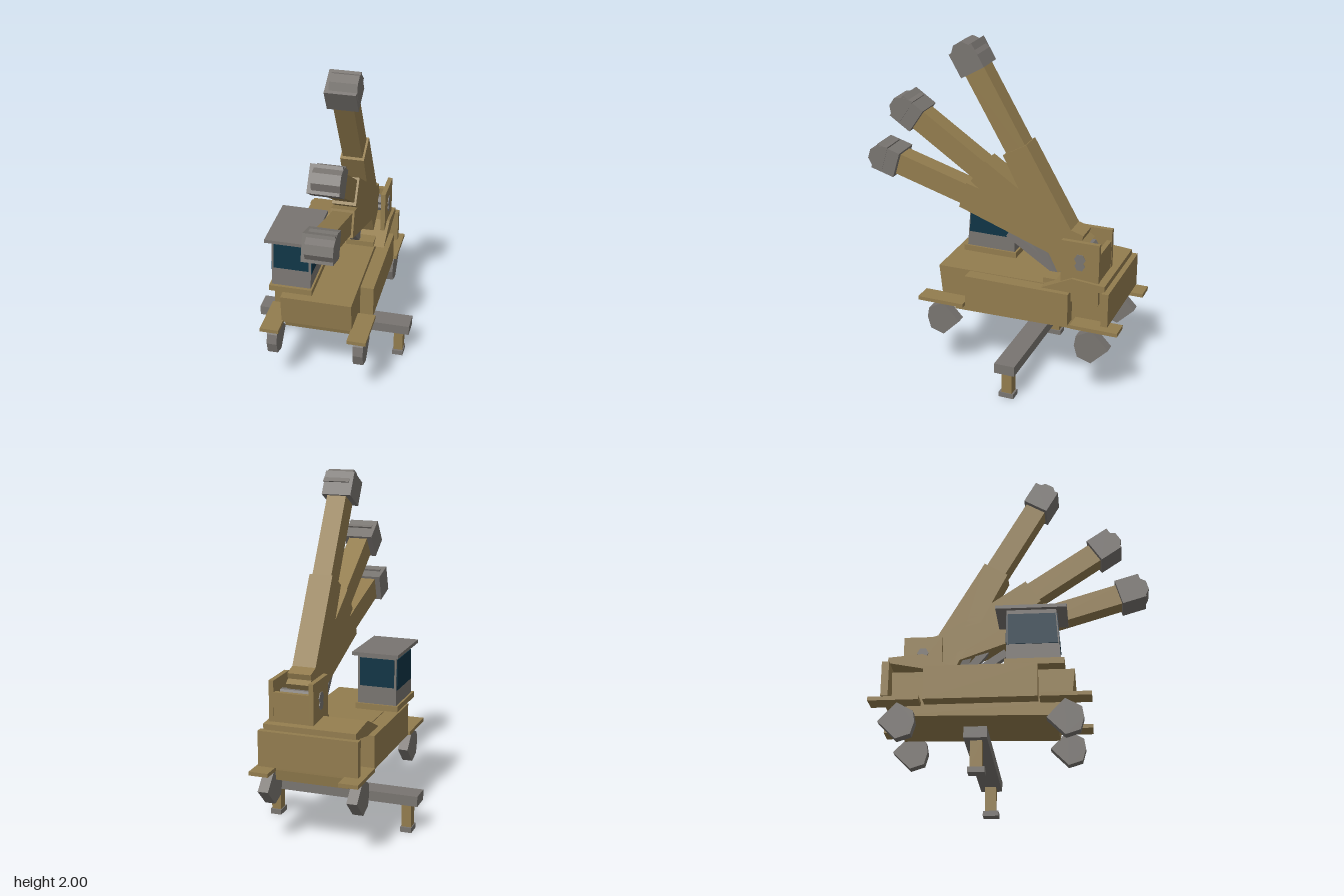
import * as THREE from 'three';

const mat = (name, color) => {
  const m = new THREE.MeshStandardMaterial({ color });
  m.name = name;
  return m;
};

export function createModel() {
  const tan = mat('tan paint', 0x927c4e);
  const grey = mat('grey metal', 0x787470);
  const glass = mat('dark teal glass', 0x0f3445);
  const model = new THREE.Group();
  model.name = 'mobileCrane';

  const add = (name, geo, material, parent = model) => {
    const mesh = new THREE.Mesh(geo, material);
    mesh.name = name;
    parent.add(mesh);
    return mesh;
  };
  // Box given by its limits on each axis
  const box = (name, material, [x0, x1], [y0, y1], [z0, z1], parent) => {
    const geo = new THREE.BoxGeometry(x1 - x0, y1 - y0, z1 - z0);
    geo.translate((x0 + x1) / 2, (y0 + y1) / 2, (z0 + z1) / 2);
    return add(name, geo, material, parent);
  };
  // Side profile of [z, y] points, extruded across x
  const slab = (name, material, pts, x0, x1, parent) => {
    const shape = new THREE.Shape(pts.map(([z, y]) => new THREE.Vector2(z, y)));
    const geo = new THREE.ExtrudeGeometry(shape, { depth: x1 - x0, bevelEnabled: false });
    geo.rotateY(-Math.PI / 2);
    geo.translate(x1, 0, 0);
    return add(name, geo, material, parent);
  };

  // Chassis
  slab('chassis', tan, [[0.33, 0.648], [0.31, 0.465], [0.25, 0.46], [0.23, 0.383],
    [-0.66, 0.4], [-0.67, 0.46], [-0.675, 0.655]], -0.21, 0.205);
  box('rightSideBox', tan, [-0.3, -0.215], [0.46, 0.652], [-0.49, 0.13]);
  box('leftSideBox', tan, [0.215, 0.293], [0.46, 0.652], [-0.49, 0.13]);
  box('rearPlate', tan, [-0.288, 0.283], [0.49, 0.69], [-0.72, -0.68]);
  slab('rearDeck', tan, [[-0.32, 0.652], [-0.5, 0.738], [-0.69, 0.722], [-0.69, 0.69],
    [-0.5, 0.652]], -0.265, 0.262);

  // Fenders and faceted wheels
  const wheelOutline = [[0, 0.105], [0.1, 0], [0, -0.1], [-0.08, -0.075], [-0.1, -0.005], [-0.09, 0.055]];
  for (const side of [-1, 1]) {
    const [a, b] = side < 0 ? [-0.31, -0.2] : [0.2, 0.31];
    box('frontFender', tan, [a, b], [0.455, 0.477], [0.14, 0.42]);
    box('rearFender', tan, [a, b], [0.455, 0.477], [-0.785, -0.51]);
    const [w0, w1] = side < 0 ? [-0.285, -0.225] : [0.225, 0.285];
    for (const z of [0.275, -0.63]) {
      slab('wheel', grey, wheelOutline.map(([u, v]) => [z - u, 0.345 + v]).reverse(), w0, w1);
    }
  }

  // Outrigger
  box('outriggerBeam', grey, [-0.472, 0.468], [0.172, 0.232], [-0.243, -0.122]);
  for (const x of [-0.4, 0.4]) {
    box('outriggerLeg', tan, [x - 0.028, x + 0.028], [0.03, 0.174], [-0.213, -0.15]);
    box('outriggerFoot', grey, [x - 0.033, x + 0.033], [0, 0.03], [-0.224, -0.135]);
  }

  // Cab
  const cab = new THREE.Group();
  cab.name = 'cab';
  model.add(cab);
  box('cabBase', tan, [-0.29, -0.037], [0.65, 0.685], [-0.052, 0.277], cab);
  slab('cabShell', grey, [[0.258, 0.685], [0.235, 0.985], [-0.04, 0.985], [-0.04, 0.685]], -0.278, -0.048, cab);
  box('cabRoof', grey, [-0.305, -0.033], [0.98, 1.0], [-0.1, 0.295], cab);
  const sidePane = [[0.244, 0.775], [0.232, 0.955], [-0.032, 0.955], [-0.032, 0.775]];
  slab('rightWindow', glass, sidePane, -0.282, -0.277, cab);
  slab('leftWindow', glass, sidePane, -0.049, -0.044, cab);
  slab('frontWindow', glass, [[0.254, 0.795], [0.241, 0.96], [0.235, 0.96], [0.248, 0.795]], -0.266, -0.062, cab);
  box('rearWindow', glass, [-0.266, -0.062], [0.79, 0.955], [-0.044, -0.039], cab);

  // Boom bracket and pivot pins
  box('bracketRightPlate', tan, [-0.012, 0.016], [0.66, 0.955], [-0.65, -0.43]);
  box('bracketLeftPlate', tan, [0.217, 0.244], [0.59, 0.955], [-0.65, -0.43]);
  box('bracketBack', tan, [0, 0.24], [0.66, 0.89], [-0.648, -0.62]);
  const pin = (name, y, r, x0, x1) => {
    const geo = new THREE.CylinderGeometry(r, r, x1 - x0, 6).toNonIndexed();
    geo.computeVertexNormals();
    geo.rotateZ(Math.PI / 2);
    geo.translate((x0 + x1) / 2, y, -0.54);
    add(name, geo, grey);
  };
  pin('upperPivotPin', 0.855, 0.033, -0.017, 0.249);
  pin('middlePivotPin', 0.815, 0.03, -0.017, 0.249);
  pin('lowerPivotPin', 0.69, 0.03, 0, 0.249);

  // Three telescopic booms; each origin is the mouth of its outer section
  const booms = [
    { z: -0.13, y: 1.414, angle: 60, reach: 0.554 },
    { z: 0.09, y: 1.26, angle: 34, reach: 0.518 },
    { z: 0.185, y: 1.104, angle: 16.6, reach: 0.5 },
  ];
  for (const { z, y, angle, reach } of booms) {
    const boom = new THREE.Group();
    boom.name = 'boom';
    boom.position.set(0.115, y, z);
    boom.rotation.x = -THREE.MathUtils.degToRad(angle);
    model.add(boom);
    slab('outerSection', tan, [[0, 0.078], [-0.73, 0.078], [-0.73, -0.12], [0, -0.08]], -0.068, 0.068, boom);
    box('innerSection', tan, [-0.056, 0.056], [-0.062, 0.064], [-0.2, reach], boom);
    box('boomHead', grey, [-0.087, 0.085], [-0.076, 0.078], [reach - 0.076, reach + 0.068], boom);
    slab('sheave', grey, [[reach + 0.06, 0.066], [reach, 0.088], [reach, -0.06],
      [reach + 0.066, -0.06], [reach + 0.1, -0.025], [reach + 0.1, 0.03]], -0.065, 0.088, boom);
  }

  // Lifting rams fanning from one foot
  const foot = new THREE.Vector3(0.08, 0.68, -0.36);
  for (const angle of [37, 54, 72]) {
    const a = THREE.MathUtils.degToRad(angle);
    const top = new THREE.Vector3(0.115, foot.y + 0.35 * Math.sin(a), foot.z + 0.36 * Math.cos(a));
    const geo = new THREE.BoxGeometry(0.05, 0.045, foot.distanceTo(top));
    const ram = add('liftingRam', geo, grey);
    ram.position.copy(foot).add(top).multiplyScalar(0.5);
    ram.lookAt(top);
  }
  box('ramFoot', tan, [0.03, 0.2], [0.64, 0.685], [-0.43, -0.31]);

  return model;
}
